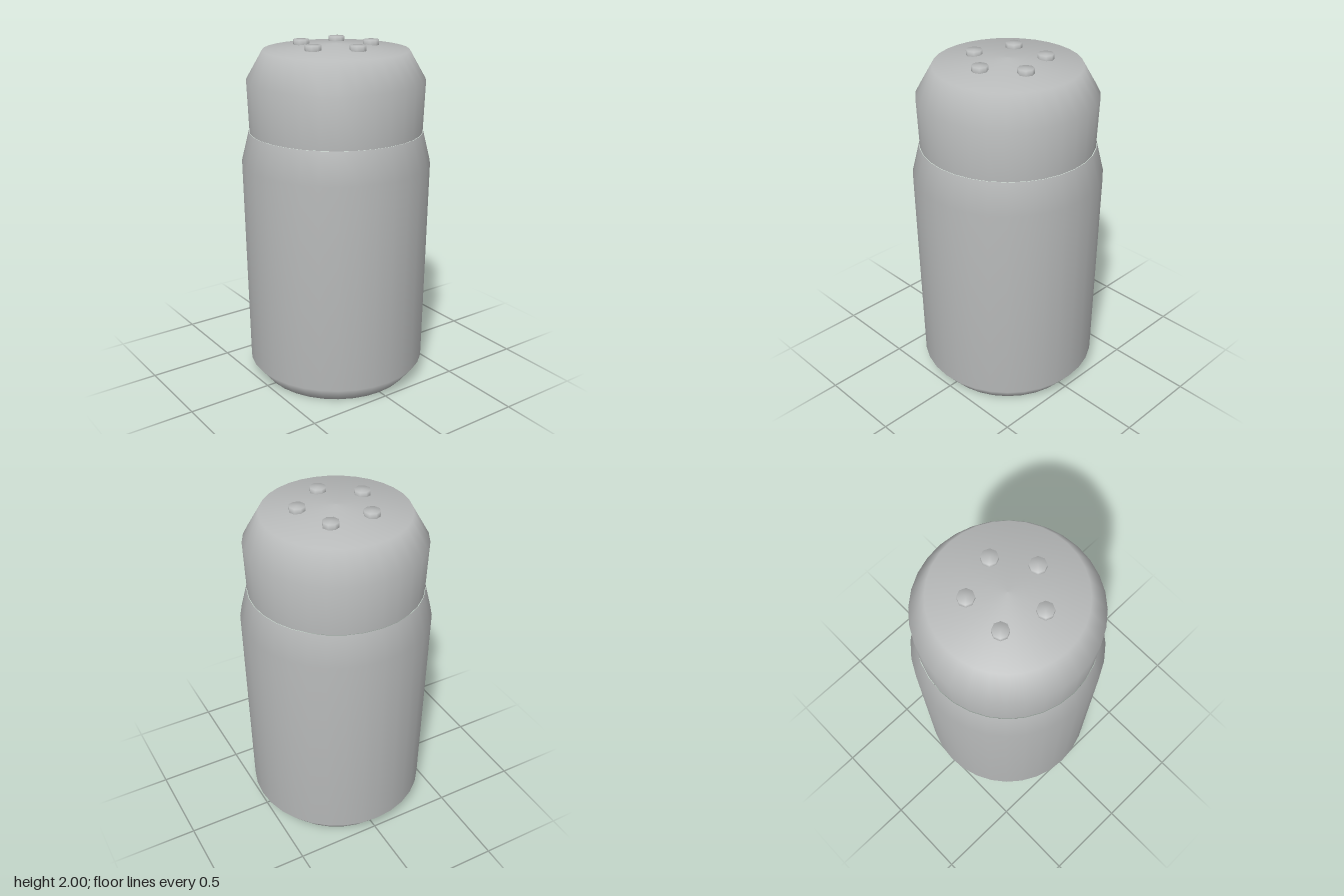
import * as THREE from 'three';

const grey = new THREE.MeshStandardMaterial({ color: 0xb8baba });
grey.name = 'grey';

// Smooth turned part from [radius, height] pairs, bottom to top
function turned(name, profile, sides) {
  const points = profile.map(([r, y]) => new THREE.Vector2(r, y));
  const mesh = new THREE.Mesh(new THREE.LatheGeometry(points, sides), grey);
  mesh.name = name;
  return mesh;
}

export function createModel() {
  const shaker = new THREE.Group();
  shaker.name = 'shaker';

  // Jar with chamfered foot and sloping shoulder
  shaker.add(turned('body', [[0, 0], [0.445, 0], [0.525, 0.1], [0.543, 1.32], [0.498, 1.5]], 32));

  // Cap with a shallow conical top
  shaker.add(turned('lid', [[0.495, 1.5], [0.505, 1.79], [0.41, 1.955], [0, 1.99]], 32));

  // Ring of five small studs marking the pour holes
  for (let i = 0; i < 5; i++) {
    const a = (i / 5) * Math.PI * 2;
    const stud = turned('pourHole' + (i + 1), [[0.046, 0], [0.046, 0.03], [0, 0.03]], 8);
    stud.position.set(0.206 * Math.cos(a), 1.97, 0.206 * Math.sin(a));
    shaker.add(stud);
  }
  return shaker;
}
